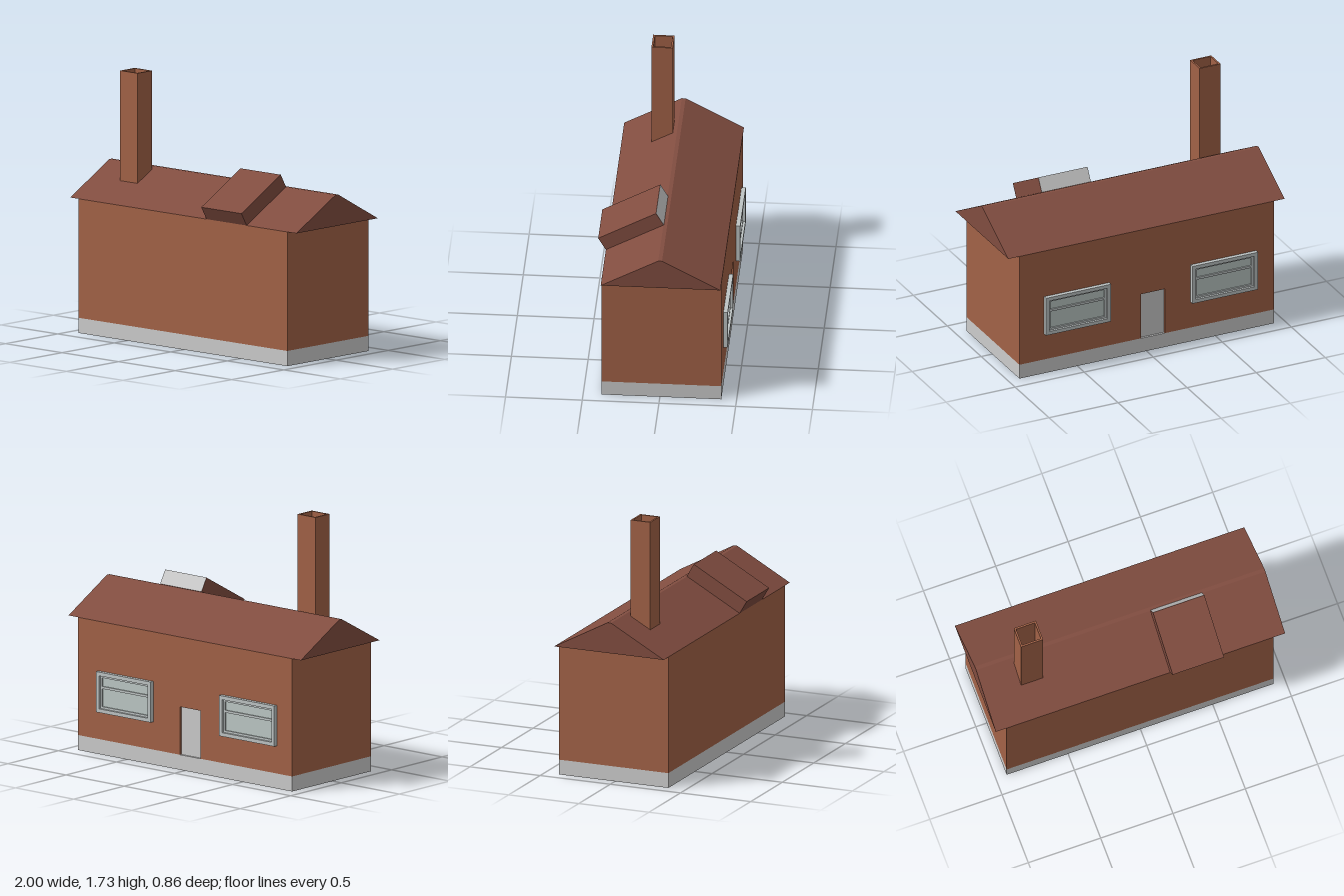
import * as THREE from 'three';

const mat = (color) => new THREE.MeshStandardMaterial({ color, flatShading: true });
const grey = mat(0xcccccc), brick = mat(0xa26247), tile = mat(0x814d40);
const frameMat = mat(0xbec4c4), glassMat = mat(0xbcc8c5);

function add(parent, name, geometry, material) {
  const mesh = new THREE.Mesh(geometry, material);
  mesh.name = name;
  parent.add(mesh);
  return mesh;
}

// Box given by its limits on each axis
function block(x0, x1, y0, y1, z0, z1) {
  return new THREE.BoxGeometry(x1 - x0, y1 - y0, z1 - z0)
    .translate((x0 + x1) / 2, (y0 + y1) / 2, (z0 + z1) / 2);
}

const polygon = (pts) => new THREE.Shape(pts.map(([x, y]) => new THREE.Vector2(x, y)));

const extrude = (shape, depth) =>
  new THREE.ExtrudeGeometry(shape, { depth, bevelEnabled: false });

// Side profile of [z, y] points swept from x0 to x1
function sweepX(profile, x0, x1) {
  return extrude(polygon(profile.map(([z, y]) => [-z, y])), x1 - x0)
    .rotateY(Math.PI / 2).translate(x0, 0, 0);
}

// Rectangular ring between an outer outline and an inset opening
function ring(x0, x1, y0, y1, inset, depth) {
  const shape = polygon([[x0, y0], [x1, y0], [x1, y1], [x0, y1]]);
  const a = x0 + inset, b = x1 - inset, c = y0 + inset, d = y1 - inset;
  shape.holes.push(polygon([[a, c], [a, d], [b, d], [b, c]]));
  return extrude(shape, depth);
}

function windowUnit(x0, x1) {
  const g = new THREE.Group();
  g.name = 'window';
  const y0 = 0.285, y1 = 0.555;
  add(g, 'outerFrame', ring(x0, x1, y0, y1, 0.025, 0.028).translate(0, 0, -0.428), frameMat);
  add(g, 'innerFrame', ring(x0 + 0.025, x1 - 0.025, y0 + 0.025, y1 - 0.025, 0.014, 0.012)
    .translate(0, 0, -0.412), frameMat);
  add(g, 'crossbar', block(x0 + 0.035, x1 - 0.035, 0.443, 0.459, -0.412, -0.4), frameMat);
  add(g, 'glass', block(x0 + 0.02, x1 - 0.02, y0 + 0.02, y1 - 0.02, -0.403, -0.398), glassMat);
  return g;
}

export function createModel() {
  const house = new THREE.Group();
  house.name = 'house';
  const left = 0.92, right = -0.925, front = 0.38, back = -0.4, eaves = 0.885;

  // Plinth and walls; the back wall is notched for the doorway
  add(house, 'plinth', block(right, left, 0, 0.1, back, front), grey);
  add(house, 'walls', block(right, left, 0.1, eaves, back + 0.02, front), brick);
  const doorLeft = 0.04, doorRight = -0.135, doorTop = 0.42;
  add(house, 'backWall', extrude(polygon([
    [right, 0.1], [doorRight, 0.1], [doorRight, doorTop], [doorLeft, doorTop],
    [doorLeft, 0.1], [left, 0.1], [left, eaves], [right, eaves],
  ]), 0.02).translate(0, 0, back), brick);
  add(house, 'door', block(doorRight, doorLeft, 0.1, doorTop, back + 0.015, back + 0.03), grey);

  // Back windows
  house.add(windowUnit(0.27, 0.74), windowUnit(-0.795, -0.32));

  // Gable roof with a narrow flat ridge
  add(house, 'roof', sweepX([
    [front, eaves], [0.005, 1.09], [-0.02, 1.09], [back, eaves],
  ], -1, 1), tile);

  // Raised roof hatch, lying along the front slope
  add(house, 'roofHatch', sweepX([
    [0.38, 0.885], [0.43, 0.97], [0.053, 1.178], [0.003, 1.092],
  ], 0.205, 0.56), tile);
  const panel = add(house, 'hatchBackPanel', new THREE.PlaneGeometry(0.355, 0.1), grey);
  panel.position.set(0.3825, 1.136, 0.027);
  panel.rotation.set(Math.atan2(0.05, 0.086), Math.PI, 0, 'XYZ');

  // Hollow chimney
  add(house, 'chimney', ring(-0.75, -0.597, -0.172, -0.033, 0.012, 0.745)
    .rotateX(-Math.PI / 2).scale(1, 1, 1).translate(0, 0.98, 0), brick)
    .name = 'chimney';
  add(house, 'chimneyFloor', block(-0.745, -0.602, 1.2, 1.22, 0.038, 0.167), brick);
  return house;
}
